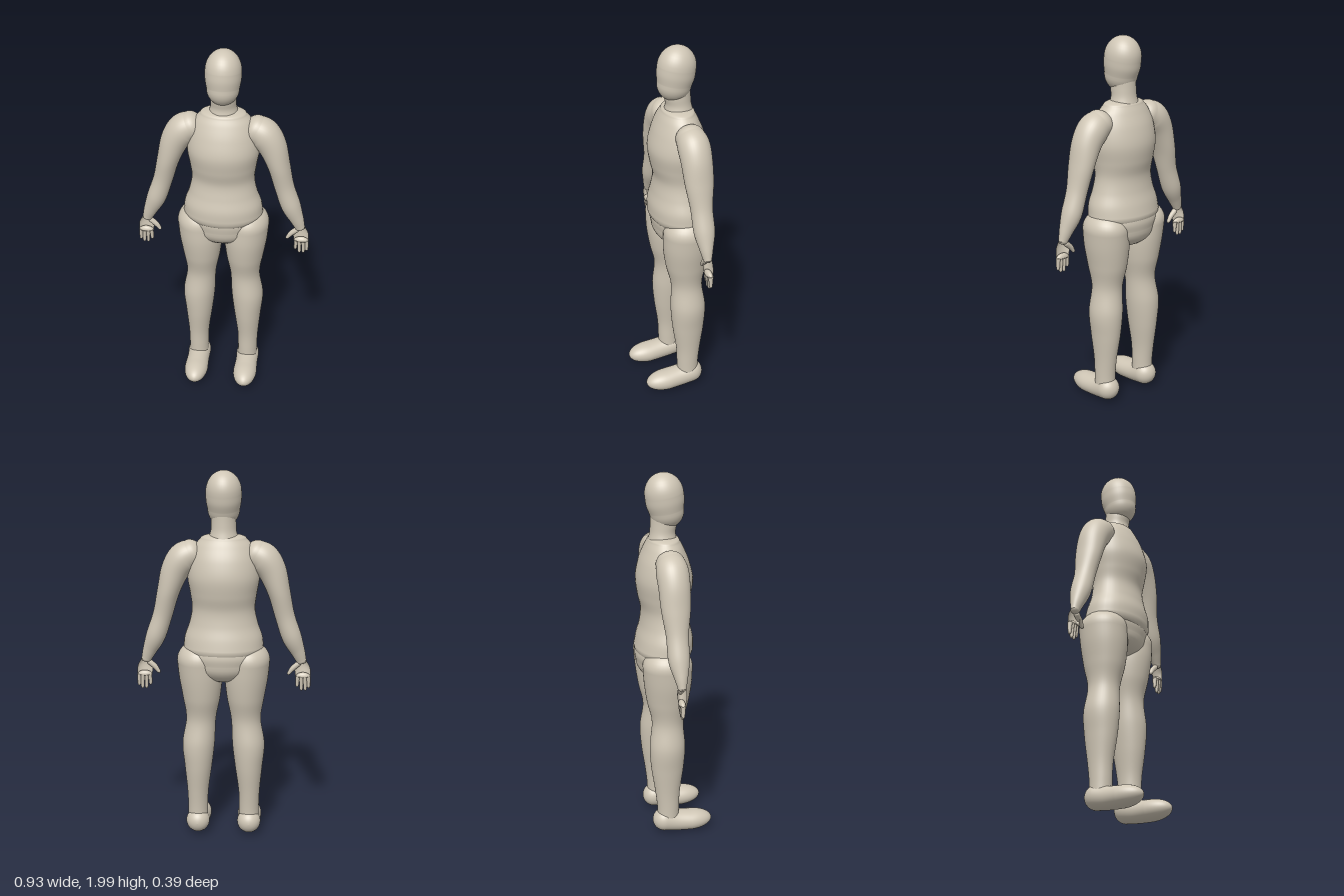
import * as THREE from 'three';

const V = (x, y, z) => new THREE.Vector3(x, y, z);

// Smooth tube of elliptical rings with rounded ends.
// sections: [x, y, z, half width, half depth]; depthAxis: direction of the half depth;
// caps: lengths of the two rounded ends; axis: fixed ring normal, else the path direction.
function loft(sections, depthAxis, caps, axis = null, sides = 40) {
  const curve = (pick) => new THREE.CatmullRomCurve3(sections.map(pick), false, 'catmullrom', 0.5);
  const path = curve((s) => V(s[0], s[1], s[2]));
  const size = curve((s) => V(s[3], s[4], 0));
  const steps = (sections.length - 1) * 8, capSteps = 10;
  const rings = [];
  const add = (t, shift, scale) => {
    const dir = axis ? axis.clone().normalize() : path.getTangent(t);
    const r = size.getPoint(t);
    rings.push({ dir, c: path.getPoint(t).addScaledVector(dir, shift), a: r.x * scale, b: r.y * scale });
  };
  for (let i = 0; i < capSteps; i++) {
    const q = (i / capSteps) * Math.PI / 2;
    add(0, -caps[0] * Math.cos(q), Math.max(Math.sin(q), 0.002));
  }
  for (let i = 0; i <= steps; i++) add(i / steps, 0, 1);
  for (let i = capSteps - 1; i >= 0; i--) {
    const q = (i / capSteps) * Math.PI / 2;
    add(1, caps[1] * Math.cos(q), Math.max(Math.sin(q), 0.002));
  }
  const pos = [], idx = [];
  rings.forEach(({ dir, c, a, b }, i) => {
    const v = depthAxis.clone().addScaledVector(dir, -depthAxis.dot(dir)).normalize();
    const u = v.clone().cross(dir);
    for (let j = 0; j < sides; j++) {
      const f = (j / sides) * Math.PI * 2;
      const p = c.clone().addScaledVector(u, a * Math.cos(f)).addScaledVector(v, b * Math.sin(f));
      pos.push(p.x, p.y, p.z);
      if (i < rings.length - 1) {
        const k = (j + 1) % sides, n = i * sides, m = n + sides;
        idx.push(n + j, n + k, m + j, n + k, m + k, m + j);
      }
    }
  });
  const g = new THREE.BufferGeometry();
  g.setAttribute('position', new THREE.Float32BufferAttribute(pos, 3));
  g.setIndex(idx);
  g.computeVertexNormals();
  return g;
}

export function createModel() {
  const model = new THREE.Group();
  model.name = 'figure';
  const clay = new THREE.MeshStandardMaterial({ color: 0xcfc6b5 });
  clay.name = 'clay';
  const X = V(1, 0, 0), Y = V(0, 1, 0), Z = V(0, 0, 1);
  const part = (name, geometry, parent = model) => {
    const mesh = new THREE.Mesh(geometry, clay);
    mesh.name = name;
    parent.add(mesh);
  };

  // Egg-shaped head, leaning back
  part('head', loft([
    [0, 1.80, -0.02, 0.084, 0.09],
    [0, 1.845, -0.027, 0.092, 0.1],
    [0, 1.89, -0.033, 0.093, 0.101],
  ], Z, [0.09, 0.11], V(0, 1, -0.18)));

  part('neck', loft([
    [0, 1.65, -0.043, 0.078, 0.075],
    [0, 1.69, -0.042, 0.067, 0.067],
    [0, 1.73, -0.037, 0.065, 0.069],
    [0, 1.78, -0.035, 0.064, 0.07],
  ], Z, [0.02, 0.03], Y));

  // Chest, waist and belly
  part('torso', loft([
    [0, 1.07, -0.04, 0.212, 0.155],
    [0, 1.13, -0.035, 0.205, 0.148],
    [0, 1.20, -0.034, 0.181, 0.131],
    [0, 1.28, -0.036, 0.166, 0.122],
    [0, 1.36, -0.036, 0.175, 0.139],
    [0, 1.45, -0.035, 0.189, 0.149],
    [0, 1.54, -0.037, 0.178, 0.13],
    [0, 1.61, -0.037, 0.152, 0.102],
    [0, 1.65, -0.038, 0.12, 0.082],
  ], Z, [0.085, 0.025], Y));

  part('pelvis', loft([
    [0, 0.99, -0.045, 0.185, 0.142],
    [0, 1.03, -0.045, 0.2, 0.148],
    [0, 1.07, -0.043, 0.195, 0.145],
  ], Z, [0.11, 0.06], Y));

  for (const [side, s] of [['left', 1], ['right', -1]]) {
    const flip = (rows) => rows.map(([x, ...rest]) => [s * x, ...rest]);

    part(side + 'Leg', loft(flip([
      [0.14, 0.08, -0.045, 0.054, 0.058],
      [0.14, 0.16, -0.045, 0.054, 0.06],
      [0.14, 0.26, -0.048, 0.058, 0.068],
      [0.137, 0.40, -0.048, 0.074, 0.088],
      [0.135, 0.53, -0.047, 0.087, 0.096],
      [0.121, 0.67, -0.043, 0.08, 0.085],
      [0.118, 0.79, -0.042, 0.1, 0.111],
      [0.122, 0.90, -0.042, 0.115, 0.127],
      [0.13, 1.00, -0.045, 0.117, 0.132],
    ]), Z, [0.03, 0.1], Y));

    part(side + 'Foot', loft(flip([
      [0.14, 0.08, -0.065, 0.064, 0.065],
      [0.14, 0.068, 0, 0.062, 0.06],
      [0.14, 0.062, 0.08, 0.066, 0.057],
    ]), Y, [0.065, 0.12], Z));

    // Arm from shoulder to wrist
    part(side + 'Arm', loft(flip([
      [0.165, 1.57, -0.038, 0.075, 0.075],
      [0.212, 1.541, -0.038, 0.082, 0.083],
      [0.255, 1.475, -0.037, 0.074, 0.081],
      [0.291, 1.365, -0.037, 0.059, 0.075],
      [0.322, 1.24, -0.037, 0.052, 0.058],
      [0.36, 1.125, -0.037, 0.052, 0.055],
      [0.394, 1.045, -0.034, 0.038, 0.036],
      [0.413, 0.995, -0.033, 0.027, 0.023],
    ]), Z, [0.06, 0.02]));

    const hand = new THREE.Group();
    hand.name = side + 'Hand';
    model.add(hand);
    part('palm', loft(flip([
      [0.413, 0.995, -0.033, 0.027, 0.021],
      [0.419, 0.955, -0.034, 0.041, 0.023],
      [0.423, 0.905, -0.036, 0.04, 0.018],
    ]), Z, [0.02, 0.025], Y, 24), hand);
    part('thumb', loft(flip([
      [0.395, 0.975, -0.033, 0.015, 0.016],
      [0.367, 0.95, -0.033, 0.014, 0.014],
      [0.35, 0.927, -0.033, 0.01, 0.011],
    ]), Z, [0.012, 0.014], null, 16), hand);
    // Four short fingers: root x, tip x, tip y
    [[0.452, 0.454, 0.857], [0.433, 0.436, 0.842], [0.413, 0.415, 0.842], [0.395, 0.393, 0.862]]
      .forEach(([x0, x1, y1], i) => part('finger' + (i + 1), loft(flip([
        [x0, 0.91, -0.036, 0.011, 0.014],
        [x1, y1, -0.036, 0.009, 0.009],
      ]), Z, [0.01, 0.014], null, 12), hand));
  }
  return model;
}
